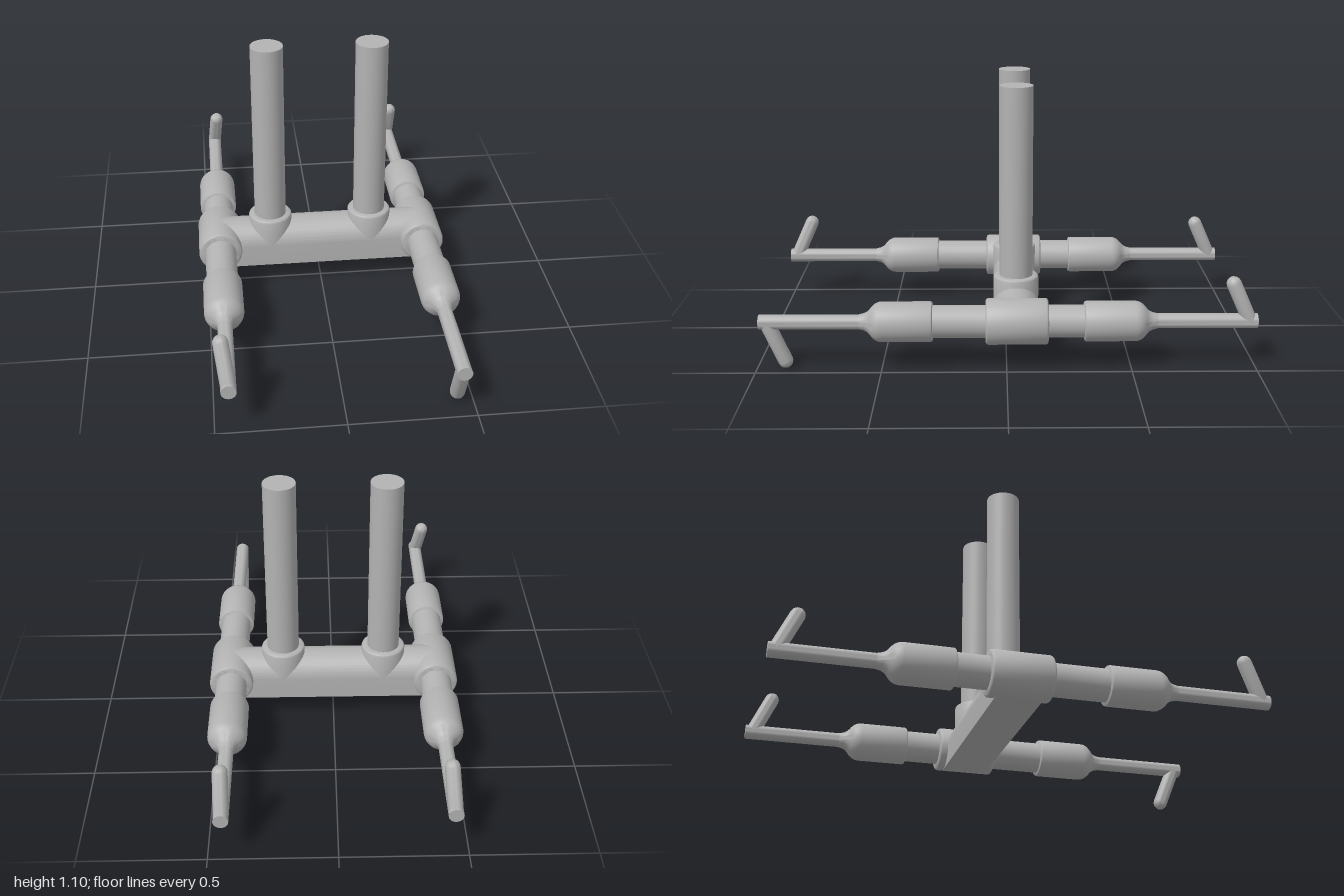
import * as THREE from 'three';
import { toCreasedNormals } from 'three/addons/utils/BufferGeometryUtils.js';

const grey = new THREE.MeshStandardMaterial({ color: 0xb3b3b3 });
grey.name = 'grey';

const AXIS_Y = 0.193; // height of the horizontal pipe axes
const FRAME_Z = -0.041; // z of the cross bar and posts
const ARM_X = 0.441;
const POST_X = 0.217;
const BODY_R = 0.093;
const ROD_R = 0.03;

function part(name, geometry, parent) {
  const mesh = new THREE.Mesh(toCreasedNormals(geometry, 0.6), grey);
  mesh.name = name;
  parent.add(mesh);
  return mesh;
}

// Solid of revolution about y from [radius, height] pairs
function lathe(pairs, segments = 40) {
  return new THREE.LatheGeometry(pairs.map(([r, h]) => new THREE.Vector2(r, h)), segments);
}

// Quarter round from (r, h) inwards to the face at h + b
function lip(r, h, b) {
  return [0, 1, 2, 3, 4].map((i) => {
    const a = (i / 4) * Math.PI / 2;
    return [r - b + b * Math.cos(a), h + b * Math.sin(a)];
  });
}

// Cylinder from y0 to y1 with rounded top and, optionally, bottom edges
function roundedPipe(r, y0, y1, b, bothEnds) {
  const top = lip(r, y1 - b, b);
  const bottom = bothEnds
    ? top.map(([x, h]) => [x, y0 + y1 - h]).reverse()
    : [[r, y0]];
  return lathe([[0, y0], ...bottom, ...top, [0, y1]]);
}

// Stub pipe, coupling, shoulder and thin rod in one profile
function armGeometries(length) {
  const R = 0.081;
  const start = 0.302;
  const pipe = new THREE.CylinderGeometry(0.066, 0.066, 0.33, 40);
  pipe.translate(0, 0.165, 0);
  const coupling = lathe([
    [0, start], [R - 0.007, start], [R - 0.002, start + 0.003], [R, start + 0.009],
    [R, 0.505], [0.079, 0.518], [0.073, 0.531], [0.063, 0.543],
    [0.052, 0.552], [0.042, 0.562], [0.035, 0.575], [ROD_R, 0.596], [0, 0.596],
  ]);
  const rod = new THREE.CylinderGeometry(ROD_R, ROD_R, length - 0.58, 24);
  rod.translate(0, (length + 0.58) / 2, 0);
  return { pipe, coupling, rod };
}

// Round-ended pin from one point to another
function hook(from, to, parent) {
  const dir = to.clone().sub(from);
  const len = dir.length();
  const mesh = part('hook', lathe([[0, 0], [ROD_R, 0], ...lip(ROD_R, len, ROD_R)], 24), parent);
  mesh.position.copy(from);
  mesh.quaternion.setFromUnitVectors(new THREE.Vector3(0, 1, 0), dir.normalize());
}

export function createModel() {
  const model = new THREE.Group();
  model.name = 'pipeStand';

  // Cross bar: rounded above, square below
  const section = new THREE.Shape();
  section.moveTo(-BODY_R, -BODY_R);
  section.lineTo(BODY_R, -BODY_R);
  section.lineTo(BODY_R, 0);
  section.absarc(0, 0, BODY_R, 0, Math.PI, false);
  section.closePath();
  const barGeometry = new THREE.ExtrudeGeometry(section, {
    depth: ARM_X * 2, bevelEnabled: false, curveSegments: 24,
  });
  barGeometry.translate(0, 0, -ARM_X);
  barGeometry.rotateY(Math.PI / 2);
  part('crossBar', barGeometry, model).position.set(0, AXIS_Y, FRAME_Z);

  // Upright posts in their sockets
  for (const side of [-1, 1]) {
    const socket = part('postSocket', roundedPipe(BODY_R, 0.19, 0.317, 0.012, false), model);
    socket.position.set(side * POST_X, 0, FRAME_Z);
    const post = part('post', new THREE.CylinderGeometry(0.068, 0.068, 0.825, 40), model);
    post.position.set(side * POST_X, 0.28 + 0.825 / 2, FRAME_Z);
  }

  // Side arms: tee, then pipe, coupling, rod and hook at each end
  const arms = [
    { name: 'rightArm', x: -ARM_X, z: 0.006, frontTip: [-0.021, 0.155], backTip: [0.013, 0.155] },
    { name: 'leftArm', x: ARM_X, z: -0.007, frontTip: [0, -0.163], backTip: [0, 0.155] },
  ];
  const length = 0.994;
  for (const { name, x, z, frontTip, backTip } of arms) {
    const arm = new THREE.Group();
    arm.name = name;
    arm.position.set(x, AXIS_Y, z);
    model.add(arm);

    const tee = part('tee', roundedPipe(BODY_R, -0.125, 0.125, 0.012, true), arm);
    tee.rotation.x = Math.PI / 2;
    tee.position.z = FRAME_Z - z;

    for (const [end, tip] of [[1, frontTip], [-1, backTip]]) {
      for (const [partName, geometry] of Object.entries(armGeometries(length))) {
        part(partName, geometry, arm).rotation.x = end * Math.PI / 2;
      }
      hook(
        new THREE.Vector3(0, 0, end * (length - 0.03)),
        new THREE.Vector3(tip[0], tip[1], end * (length - 0.1)),
        arm,
      );
    }
  }
  return model;
}
